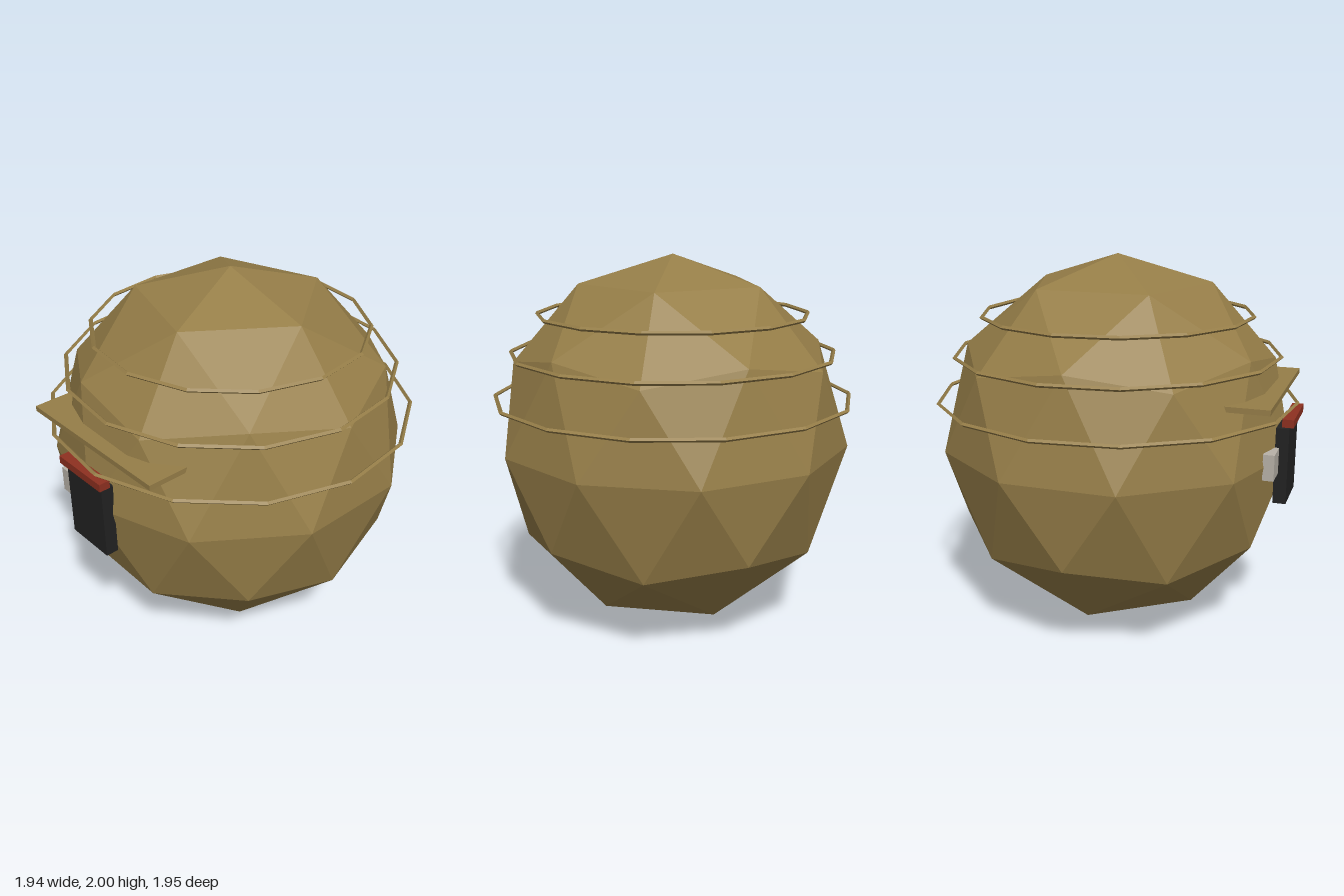
import * as THREE from 'three';

export function createModel() {
  const model = new THREE.Group();
  const paint = (name, color) => {
    const m = new THREE.MeshStandardMaterial({ color, flatShading: true });
    m.name = name;
    return m;
  };
  const straw = paint('straw', 0x967e48);
  const dark = paint('dark', 0x222222);
  const red = paint('red', 0x8e3020);
  const pale = paint('pale', 0xb8b2a8);

  const add = (name, geometry, material) => {
    const mesh = new THREE.Mesh(geometry, material);
    mesh.name = name;
    model.add(mesh);
    return mesh;
  };
  // Box given by its limits on each axis
  const block = (name, material, [x0, x1], [y0, y1], [z0, z1]) =>
    add(name, new THREE.BoxGeometry(x1 - x0, y1 - y0, z1 - z0), material)
      .position.set((x0 + x1) / 2, (y0 + y1) / 2, (z0 + z1) / 2);

  // Faceted body, with one corner of the icosahedron turned straight up
  const body = new THREE.IcosahedronGeometry(1, 1);
  body.rotateX(-Math.atan((1 + Math.sqrt(5)) / 2));
  body.rotateY(Math.PI / 2);
  body.scale(0.95, 1, 0.95);
  add('body', body, straw).position.set(0, 1, -0.004);

  // Thin fourteen-sided hoops
  for (const [radius, y] of [[0.965, 1.245], [0.87, 1.485], [0.722, 1.69]]) {
    const hoop = new THREE.TorusGeometry(radius, 0.011, 4, 14);
    hoop.rotateZ(Math.PI / 28);
    hoop.rotateX(Math.PI / 2);
    add('hoop', hoop, straw).position.set(0, y, -0.004);
  }

  // Entrance
  block('awning', straw, [-0.468, 0.468], [1.322, 1.35], [0.6, 0.908]);
  block('lintel', red, [-0.168, 0.168], [1.185, 1.227], [0.92, 0.979]);
  block('door', dark, [-0.142, 0.142], [0.768, 1.17], [0.887, 0.955]);
  block('window', pale, [-0.278, -0.13], [0.932, 1.068], [0.85, 0.908]);

  return model;
}
